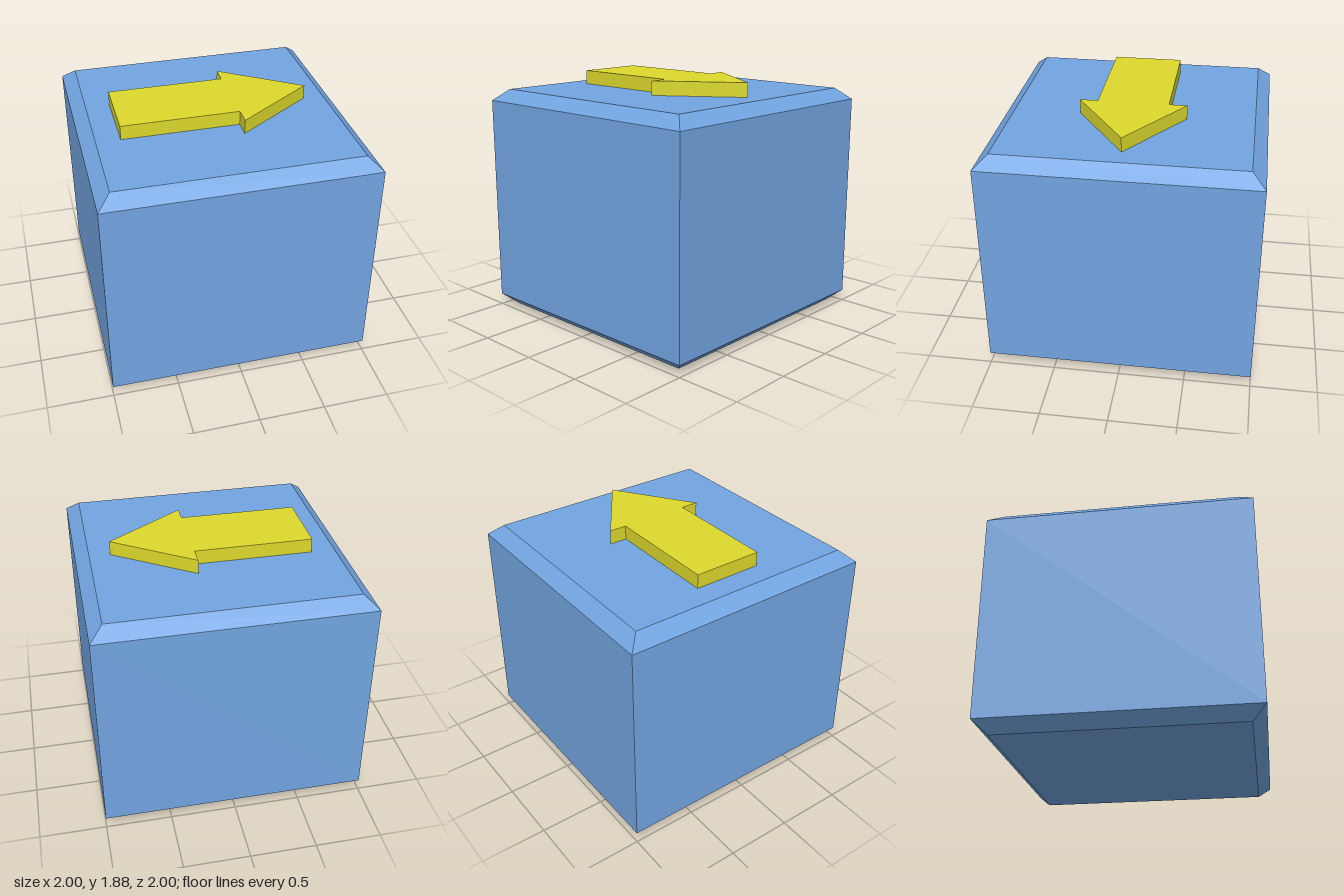
import * as THREE from 'three';

// Extrude an outline of [x, z] points upward (y)
function extrudeUp(points, options) {
  const shape = new THREE.Shape(points.map(([x, z]) => new THREE.Vector2(x, -z)));
  return new THREE.ExtrudeGeometry(shape, options).rotateX(-Math.PI / 2);
}

function addPart(group, name, geometry, color, y) {
  const material = new THREE.MeshStandardMaterial({ color, flatShading: true });
  const mesh = new THREE.Mesh(geometry, material);
  mesh.name = name;
  mesh.position.y = y;
  group.add(mesh);
}

export function createModel() {
  const group = new THREE.Group();
  group.name = 'arrowBlock';

  // Cube with chamfered top and bottom rims and sharp upright edges
  const inner = 0.9, chamfer = 0.1, chamferHeight = 0.088, top = 1.777;
  const block = extrudeUp(
    [[-inner, inner], [inner, inner], [inner, -inner], [-inner, -inner]],
    {
      depth: top - 2 * chamferHeight,
      bevelEnabled: true,
      bevelSegments: 1,
      bevelSize: chamfer,
      bevelThickness: chamferHeight,
    },
  );
  addPart(group, 'block', block, 0x72a4e0, chamferHeight);

  // Raised arrow pointing to +x
  const half = [[-0.72, 0.265], [0.16, 0.265], [0.16, 0.4]];
  const mirrored = half.map(([x, z]) => [x, -z]).reverse();
  const arrow = extrudeUp([...half, [0.745, 0], ...mirrored], {
    depth: 0.108,
    bevelEnabled: false,
  });
  addPart(group, 'arrow', arrow, 0xdcd82c, top);

  return group;
}
